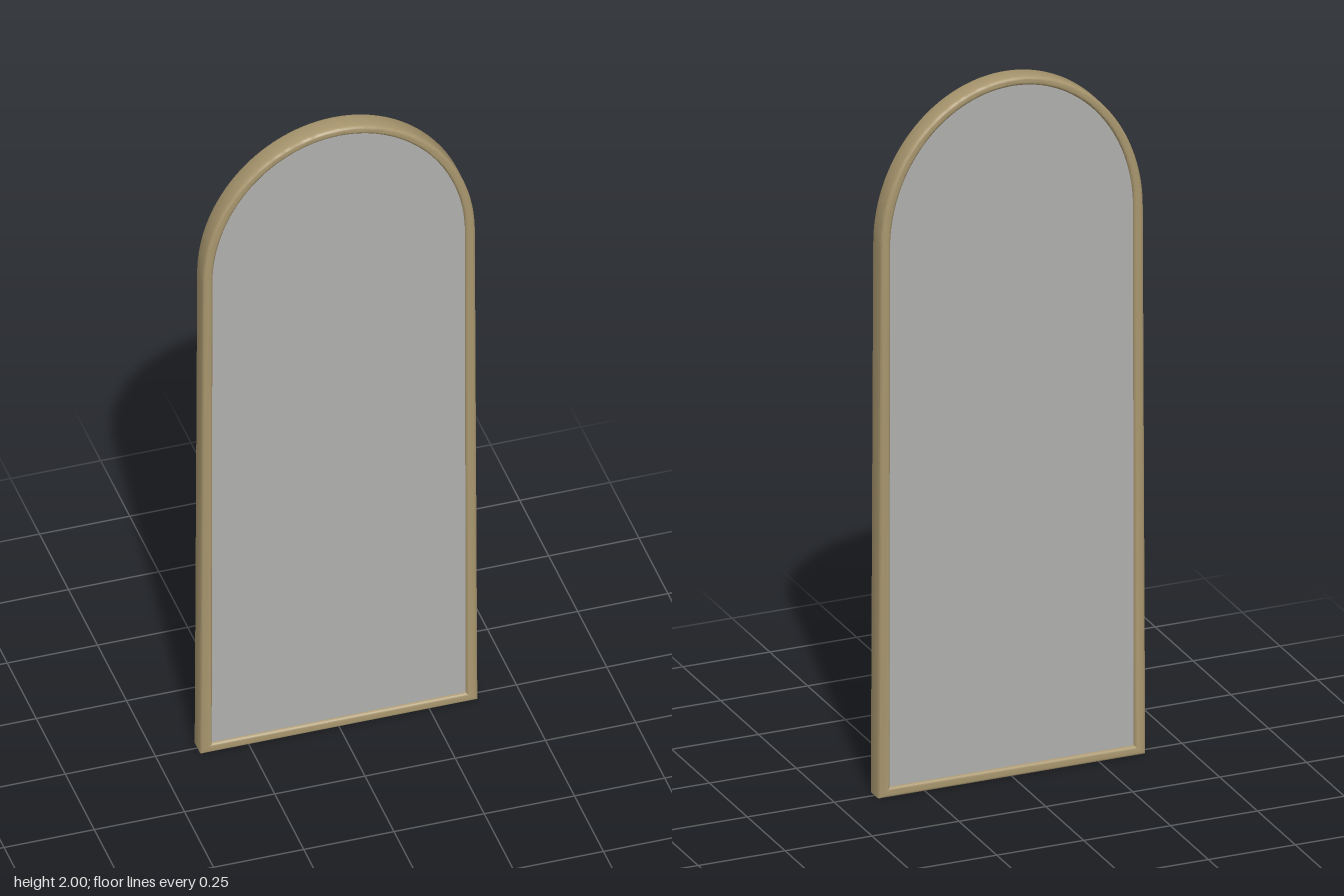
import * as THREE from 'three';
import { toCreasedNormals } from 'three/addons/utils/BufferGeometryUtils.js';

// Arched outline: sides taper slightly, the top is half an ellipse
function arch(PathType, bottomHalf, topHalf, base, spring, top) {
  const p = new PathType();
  p.moveTo(-bottomHalf, base);
  p.lineTo(bottomHalf, base);
  p.lineTo(topHalf, spring);
  p.absellipse(0, spring, topHalf, top - spring, 0, Math.PI, false);
  p.lineTo(-bottomHalf, base);
  return p;
}

export function createModel() {
  const group = new THREE.Group();
  group.name = 'archedMirror';
  const brass = new THREE.MeshStandardMaterial({ color: 0xa8966e });
  brass.name = 'agedBrass';
  const glass = new THREE.MeshStandardMaterial({ color: 0xafafad });
  glass.name = 'mirrorGrey';

  // Frame with softened edges
  const depth = 0.062, bevel = 0.008;
  const outline = arch(THREE.Shape, 0.384, 0.377, 0, 1.57, 2);
  outline.holes.push(arch(THREE.Path, 0.352, 0.35, 0.028, 1.57, 1.976));
  const frameGeometry = new THREE.ExtrudeGeometry(outline, {
    depth: depth - 2 * bevel,
    curveSegments: 48,
    bevelThickness: bevel,
    bevelSize: bevel,
    bevelOffset: -bevel,
    bevelSegments: 3,
  });
  frameGeometry.translate(0, 0, -depth / 2 + bevel);
  const frame = new THREE.Mesh(toCreasedNormals(frameGeometry, 0.6), brass);
  frame.name = 'frame';
  group.add(frame);

  // Mirror panel, set slightly back on both faces
  const panelDepth = 0.044;
  const panelGeometry = new THREE.ExtrudeGeometry(
    arch(THREE.Shape, 0.358, 0.356, 0.022, 1.57, 1.982),
    { depth: panelDepth, curveSegments: 48, bevelEnabled: false },
  );
  panelGeometry.translate(0, 0, -panelDepth / 2);
  const panel = new THREE.Mesh(panelGeometry, glass);
  panel.name = 'mirrorPanel';
  group.add(panel);

  return group;
}
